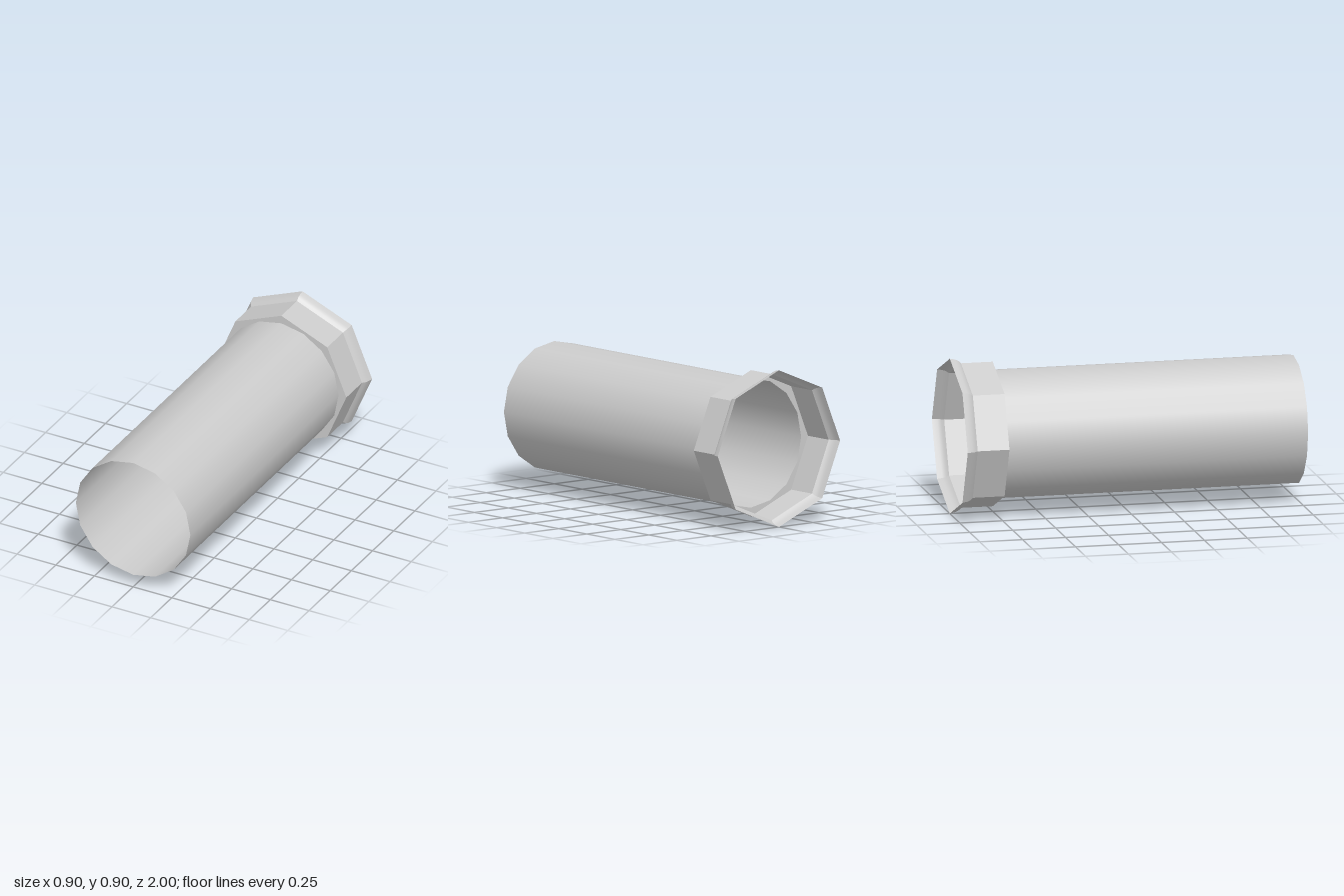
import * as THREE from 'three';
import { toCreasedNormals } from 'three/addons/utils/BufferGeometryUtils.js';

const AXIS_HEIGHT = 0.45;
const PIPE_RADIUS = 0.37, PIPE_SIDES = 16;
const COLLAR_RADIUS = 0.42, COLLAR_SIDES = 8;
const COLLAR_START = 0.75, FLARE_START = 0.935; // distances towards the back

const material = new THREE.MeshStandardMaterial({ color: 0xcccccc, side: THREE.DoubleSide });

// Open shell of revolution; profile pairs are [radius, distance towards the back]
function shell(profile, sides) {
  const points = profile.map(([r, d]) => new THREE.Vector2(r, d));
  return new THREE.LatheGeometry(points, sides).rotateX(-Math.PI / 2);
}

// Regular polygon with one corner at the top
function polygon(radius, sides) {
  return Array.from({ length: sides }, (_, i) => {
    const a = (i / sides) * Math.PI * 2;
    return new THREE.Vector2(Math.sin(a) * radius, Math.cos(a) * radius);
  });
}

export function createModel() {
  const model = new THREE.Group();
  model.name = 'flaredPipe';

  const add = (name, geometry) => {
    const mesh = new THREE.Mesh(geometry, material);
    mesh.name = name;
    mesh.position.y = AXIS_HEIGHT;
    model.add(mesh);
  };

  // Long smooth pipe, open at both ends
  add('pipe', shell([[PIPE_RADIUS, -1], [PIPE_RADIUS, COLLAR_START]], PIPE_SIDES));

  // Flat shoulder joining the round pipe to the eight-sided collar
  const shoulder = new THREE.Shape(polygon(COLLAR_RADIUS, COLLAR_SIDES));
  shoulder.holes.push(new THREE.Path(polygon(PIPE_RADIUS, PIPE_SIDES)));
  add('shoulder', new THREE.ShapeGeometry(shoulder).translate(0, 0, -COLLAR_START));

  // Faceted collar
  const collar = shell([[COLLAR_RADIUS, COLLAR_START], [COLLAR_RADIUS, FLARE_START]], COLLAR_SIDES);
  add('collar', toCreasedNormals(collar, Math.PI / 6));

  // Rounded flare at the mouth
  const flare = shell(
    [[COLLAR_RADIUS, FLARE_START], [0.435, 0.95], [0.444, 0.97], [0.45, 1]],
    COLLAR_SIDES
  );
  add('flare', toCreasedNormals(flare, Math.PI / 6));

  return model;
}
